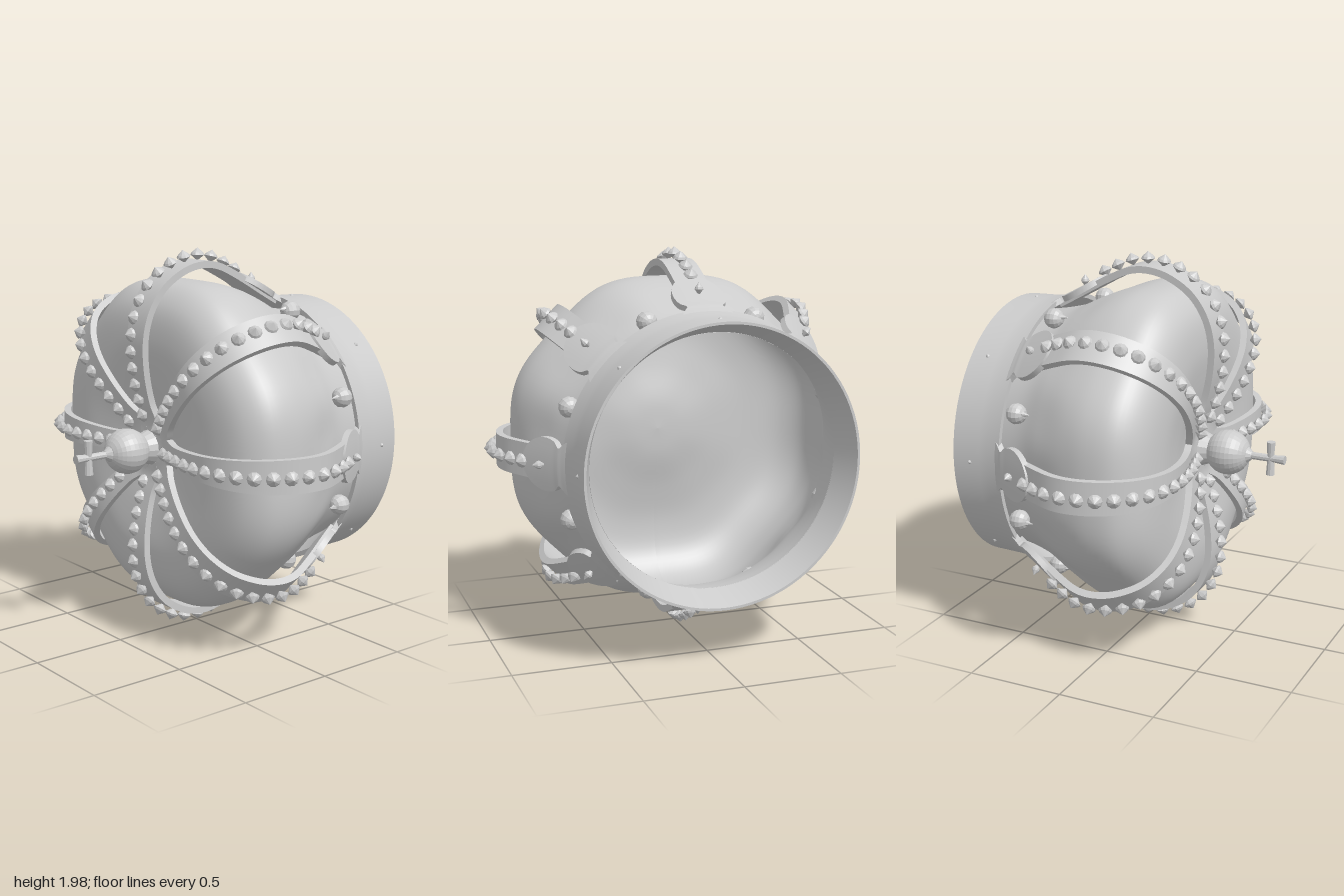
import * as THREE from 'three';
import { toCreasedNormals } from 'three/addons/utils/BufferGeometryUtils.js';

const grey = new THREE.MeshStandardMaterial({ color: 0xcccccc, side: THREE.DoubleSide });
const facet = new THREE.MeshStandardMaterial({ color: 0xcccccc, flatShading: true });

function add(parent, name, geometry, material, x = 0, y = 0, z = 0) {
  const m = new THREE.Mesh(geometry, material);
  m.name = name;
  m.position.set(x, y, z);
  parent.add(m);
  return m;
}

const curve = (pts) => new THREE.CatmullRomCurve3(pts.map((p) => new THREE.Vector3(...p)), false, 'centripetal');
const points2 = (pts) => pts.map((p) => new THREE.Vector2(...p));

// Strap along a curve of [half width, height, radius]; wrap bends it around the axis
function strap(path, rows, thick, wrap) {
  const K = 6, M = 2 * (K + 1), pos = [], idx = [];
  for (let i = 0; i <= rows; i++) {
    const p = path.getPoint(i / rows), t = path.getTangent(i / rows);
    const len = Math.hypot(t.y, t.z) || 1, nr = t.y / len, nh = -t.z / len;
    for (let j = 0; j < M; j++) {
      const outer = j <= K;
      const u = p.x * ((outer ? j : M - 1 - j) / K * 2 - 1);
      const d = outer ? 0 : -thick;
      const bend = wrap ? u * u / (2 * p.z) : 0;
      pos.push(u, p.y + nh * d, p.z + nr * d - bend);
      if (i < rows) {
        const a = i * M + j, b = i * M + (j + 1) % M;
        idx.push(a, b, a + M, b, b + M, a + M);
      }
    }
  }
  const g = new THREE.BufferGeometry();
  g.setAttribute('position', new THREE.Float32BufferAttribute(pos, 3));
  g.setIndex(idx);
  return toCreasedNormals(g, 0.6);
}

// Puffed fabric cap with soft lobes and gathered folds near the band
function capGeometry() {
  const profile = curve([[0.63, -0.6, 0], [0.648, -0.5, 0], [0.682, -0.38, 0], [0.745, -0.25, 0], [0.82, -0.08, 0],
    [0.85, 0.06, 0], [0.83, 0.2, 0], [0.73, 0.295, 0], [0.55, 0.33, 0], [0.35, 0.31, 0], [0.15, 0.27, 0], [0, 0.26, 0]]);
  const g = new THREE.LatheGeometry(profile.getPoints(56).map((p) => new THREE.Vector2(Math.max(p.x, 0), p.y)), 128);
  const p = g.attributes.position;
  for (let i = 0; i < p.count; i++) {
    const x = p.getX(i), y = p.getY(i), z = p.getZ(i), a = Math.atan2(x, z);
    const lobe = THREE.MathUtils.smoothstep(y, -0.55, 0) * Math.min(1, Math.hypot(x, z) / 0.6);
    const fold = Math.exp(-(((y + 0.22) / 0.13) ** 2));
    const s = 1 - 0.016 * lobe * Math.cos(8 * a) + 0.006 * fold * Math.sin(16 * a + 2 * Math.sin(a));
    p.setXYZ(i, x * s, y, z * s);
  }
  g.computeVertexNormals();
  return g;
}

export function createModel() {
  const model = new THREE.Group();
  model.name = 'crown';
  const crown = new THREE.Group();
  crown.name = 'crownBody';
  crown.rotation.x = Math.PI / 2;
  crown.position.y = 1;
  model.add(crown);

  add(crown, 'cap', capGeometry(), grey);

  // Base band: flared upper edge outside, tapering inward to the cap inside
  const band = [[0.685, -0.75], [0.698, -0.75], [0.702, -0.6], [0.706, -0.55], [0.724, -0.472],
    [0.7, -0.472], [0.63, -0.595], [0.685, -0.75]];
  add(crown, 'band', toCreasedNormals(new THREE.LatheGeometry(points2(band), 96), 0.6), grey);

  // Arch strap, and the round plaque joining it to the band
  const archPath = curve([[0.085, -0.48, 0.71], [0.085, -0.38, 0.765], [0.085, -0.2, 0.865], [0.085, -0.08, 0.918],
    [0.084, 0.02, 0.93], [0.083, 0.14, 0.905], [0.08, 0.27, 0.825], [0.074, 0.35, 0.71], [0.066, 0.385, 0.57],
    [0.056, 0.375, 0.4], [0.05, 0.335, 0.23], [0.066, 0.31, 0.14], [0.06, 0.31, 0.05]]);
  const archGeo = strap(archPath, 64, 0.035, false);
  const plaque = [[0.13, -0.53, 0.7], [0.125, -0.49, 0.722], [0.105, -0.468, 0.734], [0.092, -0.452, 0.744]];
  for (let i = 1; i <= 8; i++) {
    const a = -0.75 + i / 8 * (Math.PI / 2 + 0.75);
    const h = -0.365 + 0.13 * Math.sin(a);
    plaque.push([Math.max(0.132 * Math.cos(a), 0.004), h, 0.79 + (h + 0.365) * 0.55]);
  }
  const plaqueGeo = strap(curve(plaque), 48, 0.03, true);

  // Pointed gem, its axis along +y
  const gemGeo = new THREE.LatheGeometry(points2([[0, -0.03], [0.036, 0], [0.03, 0.011], [0, 0.036]]), 10);
  const up = new THREE.Vector3(0, 1, 0);

  const samples = archPath.getSpacedPoints(200).filter((p) => p.y > -0.24 || p.z < 0.6);
  for (let k = 0; k < 8; k++) {
    const arch = new THREE.Group();
    arch.name = 'arch';
    arch.rotation.y = k * Math.PI / 4;
    crown.add(arch);
    add(arch, 'archStrap', archGeo, grey);
    add(arch, 'archPlaque', plaqueGeo, grey);

    // Row of gems spaced evenly over the strap
    let last = null;
    for (let i = 0; i < samples.length - 1; i++) {
      const p = samples[i];
      if (p.z < 0.15) break;
      if (last && Math.hypot(p.y - last.y, p.z - last.z) < 0.081) continue;
      last = p;
      const q = samples[i + 1];
      const n = new THREE.Vector3(0, p.z - q.z, q.y - p.y).normalize();
      const gem = add(arch, 'archGem', gemGeo, facet, 0, p.y + n.y * 0.026, p.z + n.z * 0.026);
      gem.quaternion.setFromUnitVectors(up, n);
    }

    // Small studs on the plaque and the band
    const stud = add(arch, 'plaqueStud', gemGeo, facet, 0, -0.365, 0.81);
    stud.rotation.x = Math.PI / 2;
    stud.scale.set(0.6, 1, 0.6);
    const bandStud = add(arch, 'bandStud', gemGeo, facet, 0, -0.655, 0.7);
    bandStud.rotation.x = Math.PI / 2;
    bandStud.scale.setScalar(0.3);

    // Pearl between neighbouring arches
    const pearl = new THREE.Group();
    pearl.name = 'pearl';
    pearl.rotation.y = (k + 0.5) * Math.PI / 4;
    crown.add(pearl);
    add(pearl, 'pearlBall', new THREE.SphereGeometry(0.052, 12, 8), facet, 0, -0.395, 0.722);
    add(pearl, 'pearlTip', new THREE.ConeGeometry(0.016, 0.04, 6), facet, 0, -0.332, 0.735);
  }

  // Orb and cross on the summit
  add(crown, 'orb', new THREE.SphereGeometry(0.115, 24, 16), facet, 0, 0.445, 0);
  add(crown, 'orbSeat', new THREE.CylinderGeometry(0.07, 0.1, 0.08, 16), facet, 0, 0.32, 0);
  add(crown, 'orbCollar', new THREE.CylinderGeometry(0.02, 0.045, 0.03, 12), facet, 0, 0.562, 0);
  add(crown, 'crossPost', new THREE.CylinderGeometry(0.019, 0.019, 0.17, 10), facet, 0, 0.635, 0);
  add(crown, 'crossTop', new THREE.CylinderGeometry(0.024, 0.019, 0.06, 10), facet, 0, 0.72, 0);
  for (const s of [-1, 1]) {
    const arm = add(crown, 'crossArm', new THREE.CylinderGeometry(0.023, 0.017, 0.086, 10), facet, 0, 0.675, s * 0.043);
    arm.rotation.x = s * Math.PI / 2;
  }
  return model;
}
